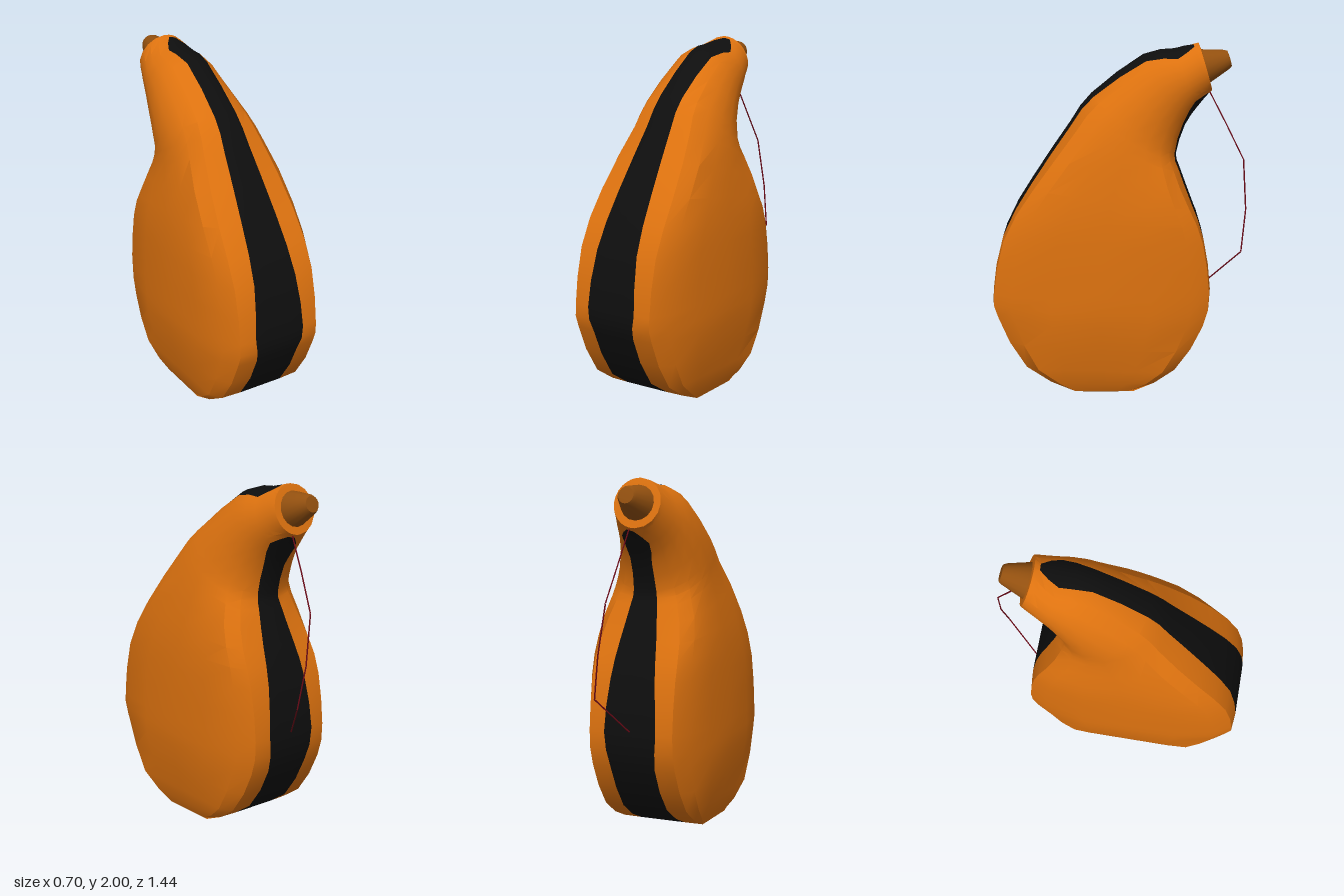
import * as THREE from 'three';
import { toCreasedNormals } from 'three/addons/utils/BufferGeometryUtils.js';

const { lerp, clamp, smoothstep } = THREE.MathUtils;

const orange = new THREE.MeshStandardMaterial({ color: 0xdd720f });
orange.name = 'orange rind';
const black = new THREE.MeshStandardMaterial({ color: 0x0e0e0e });
black.name = 'black stripe';
const brown = new THREE.MeshStandardMaterial({ color: 0x93500f });
brown.name = 'brown stopper';
const red = new THREE.MeshStandardMaterial({ color: 0x6e0a18 });
red.name = 'dark red cord';

// Key sections from base to neck: front z, y; back z, y; half width; stripe half width
const KEYS = [
  [0.10, 0.00, 0.10, 0.00, 0.15, 0.14],
  [0.26, 0.03, -0.08, 0.03, 0.25, 0.14],
  [0.54, 0.18, -0.32, 0.16, 0.295, 0.135],
  [0.70, 0.48, -0.48, 0.42, 0.342, 0.135],
  [0.72, 0.62, -0.515, 0.62, 0.35, 0.155],
  [0.66, 0.93, -0.475, 0.91, 0.342, 0.133],
  [0.50, 1.23, -0.41, 1.11, 0.322, 0.11],
  [0.28, 1.56, -0.34, 1.30, 0.28, 0.08],
  [0.16, 1.72, -0.32, 1.38, 0.26, 0.07],
  [-0.13, 1.935, -0.37, 1.54, 0.212, 0.068],
  [-0.30, 1.968, -0.44, 1.645, 0.175, 0.085],
  [-0.41, 1.994, -0.50, 1.717, 0.147, 0.02],
];
// Lip and closed mouth beyond the end of the stripe
const MOUTH = [
  [-0.44, 2.00, -0.52, 1.735, 0.138, 0.04],
  [-0.452, 1.97, -0.512, 1.76, 0.11, 0.03],
  [-0.482, 1.865, -0.482, 1.865, 0.001, 0],
];

// Flat-sided rim profile, from the stripe edge out to the widest point
const RIM_X = [0.25, 0.3, 0.338, 0.35];
const RIM_T = [0.982, 0.82, 0.45, 0];

// Splines along the front (with width) and back (with stripe), two steps per key
function bodySections() {
  const spline = (pick) => new THREE.CatmullRomCurve3(
    KEYS.map((k) => new THREE.Vector3(...pick(k))), false, 'catmullrom');
  const front = spline(([fz, fy, , , w]) => [fz, fy, w]);
  const back = spline(([, , bz, by, , s]) => [bz, by, s]);
  const steps = 2 * (KEYS.length - 1);
  const sections = [];
  for (let i = 0; i <= steps; i++) {
    const f = front.getPoint(i / steps), b = back.getPoint(i / steps);
    sections.push([f.x, f.y, b.x, b.y, f.z, b.z]);
  }
  return sections;
}

// Point i (0 = stripe centre, 2 = stripe edge, 6 = widest) in one quadrant
function sectionPoint([fz, fy, bz, by, w, s], i, sx, sz) {
  // The flat body turns into a round neck that leans a little to the right
  const round = smoothstep(fy, 0.95, 1.9);
  const cx = -0.035 * smoothstep(fy, 1.5, 1.95);
  const stripeX = sx * s * Math.min(i, 2) / 2;
  const off = clamp((stripeX - cx) * sx / w, -1, 1);
  let x = stripeX;
  let t = lerp(1, Math.sqrt(1 - off * off), round);
  if (i > 2) {
    const a = lerp(Math.asin(off), Math.PI / 2, (i - 2) / 4);
    x = cx + sx * lerp(Math.min(w, RIM_X[i - 3]), w * Math.sin(a), round);
    t = lerp(RIM_T[i - 3], Math.cos(a), round);
  }
  const f = (1 + sz * t) / 2;
  return [x, lerp(by, fy, f), lerp(bz, fz, f)];
}

// Order of the points round each section
const LOOP = [];
for (let i = 0; i <= 6; i++) LOOP.push([i, 1, 1]);
for (let i = 5; i >= 0; i--) LOOP.push([i, 1, -1]);
for (let i = 1; i <= 6; i++) LOOP.push([i, -1, -1]);
for (let i = 5; i >= 1; i--) LOOP.push([i, -1, 1]);

function bodyGeometry() {
  const sections = bodySections();
  const stripeEnd = sections.length - 1;
  const rings = [...sections, ...MOUTH].map(
    (sec) => LOOP.map(([i, sx, sz]) => sectionPoint(sec, i, sx, sz)));
  const rind = [], stripe = [];
  for (let k = 0; k < rings.length - 1; k++) {
    for (let j = 0; j < LOOP.length; j++) {
      const n = (j + 1) % LOOP.length;
      const inStripe = k < stripeEnd && Math.max(LOOP[j][0], LOOP[n][0]) <= 2;
      const a = rings[k][j], b = rings[k][n], c = rings[k + 1][n], d = rings[k + 1][j];
      (inStripe ? stripe : rind).push(...a, ...b, ...c, ...a, ...c, ...d);
    }
  }
  const flat = new THREE.BufferGeometry();
  flat.setAttribute('position', new THREE.Float32BufferAttribute([...rind, ...stripe], 3));
  const geometry = toCreasedNormals(flat, 0.45);
  geometry.addGroup(0, rind.length / 3, 0);
  geometry.addGroup(rind.length / 3, stripe.length / 3, 1);
  return geometry;
}

export function createModel() {
  const model = new THREE.Group();
  model.name = 'gourdFlask';

  // Gourd body with the stripe running round its rim
  const body = new THREE.Mesh(bodyGeometry(), [orange, black]);
  body.name = 'gourdBody';
  model.add(body);

  // Tapered stopper in the mouth
  const profile = [[0.105, -0.02], [0.1, 0], [0.056, 0.13], [0.045, 0.147], [0, 0.15]]
    .map(([r, y]) => new THREE.Vector2(r, y));
  const stopper = new THREE.Mesh(toCreasedNormals(new THREE.LatheGeometry(profile, 16), 0.6), brown);
  stopper.name = 'stopper';
  stopper.position.set(-0.035, 1.868, -0.475);
  stopper.rotation.x = -1.27;
  model.add(stopper);

  // Thin cord hanging from the neck to the back, in straight lengths
  const cord = new THREE.Group();
  cord.name = 'cord';
  const path = [
    [0, 1.74, -0.5], [0.02, 1.55, -0.6], [0.045, 1.35, -0.7],
    [0.085, 1.07, -0.715], [0.12, 0.83, -0.69], [0, 0.63, -0.515],
  ].map((p) => new THREE.Vector3(...p));
  for (let i = 0; i < path.length - 1; i++) {
    const line = new THREE.LineCurve3(path[i], path[i + 1]);
    const length = new THREE.Mesh(new THREE.TubeGeometry(line, 1, 0.004, 6), red);
    length.name = 'cordLength';
    cord.add(length);
  }
  model.add(cord);

  return model;
}
